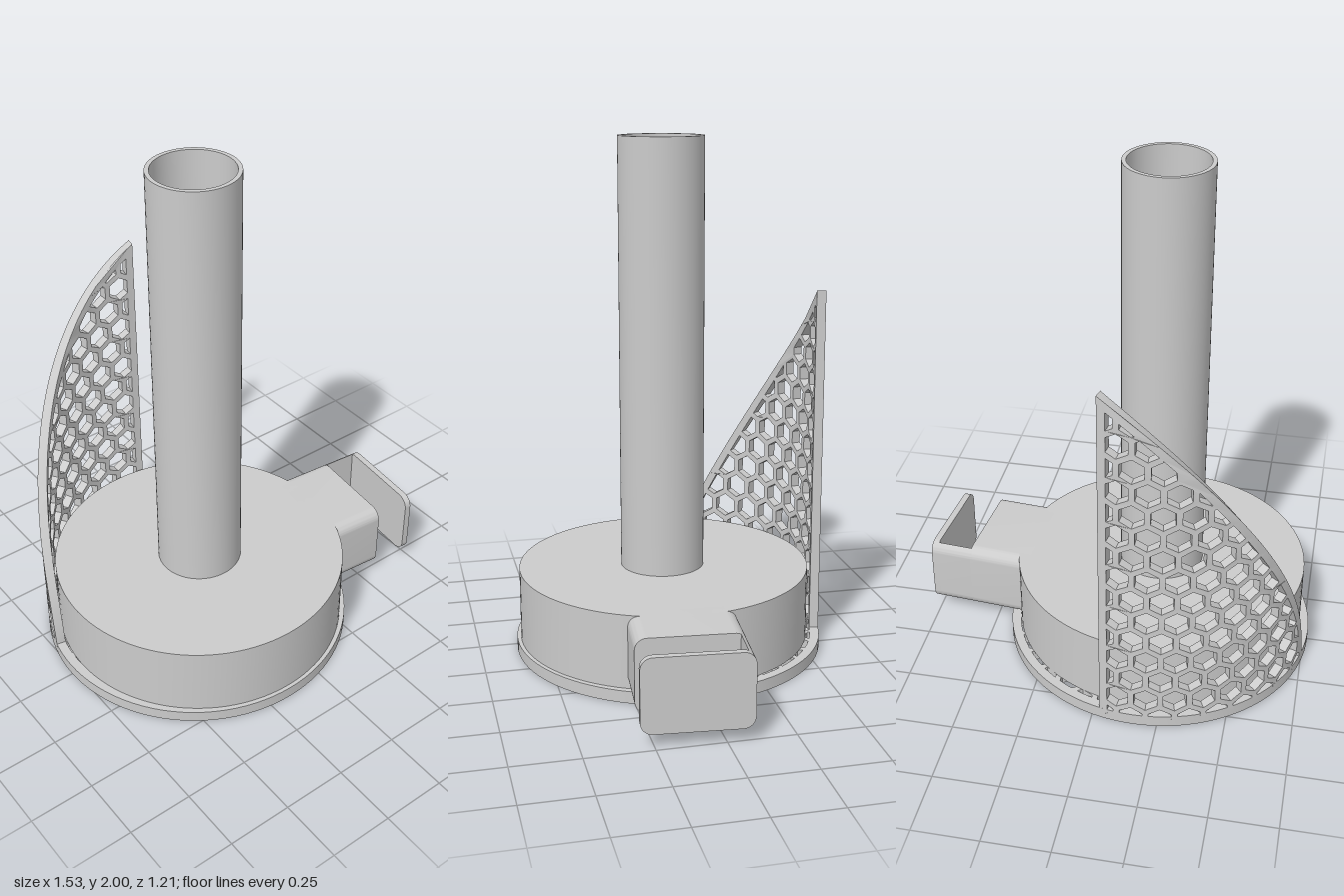
import * as THREE from 'three';
import { toCreasedNormals } from 'three/addons/utils/BufferGeometryUtils.js';

const V = (x, y) => new THREE.Vector2(x, y);
const CX = -0.162, R = 0.605, WALL = 0.036, BASE_H = 0.046;
const PITCH = 0.107, HEX = 0.049; // hole spacing and corner radius
const material = new THREE.MeshStandardMaterial({ color: 0xcccccc });

function add(parent, name, geometry, crease = 0.5) {
  const mesh = new THREE.Mesh(toCreasedNormals(geometry, crease), material);
  mesh.name = name;
  parent.add(mesh);
  return mesh;
}

// Trim a convex polygon by the line a-b moved inwards by the frame width
function trim(poly, a, b, inset) {
  const d = b.clone().sub(a).normalize();
  const dist = p => d.x * (p.y - a.y) - d.y * (p.x - a.x) - inset;
  const out = [];
  poly.forEach((p, i) => {
    const q = poly[(i + 1) % poly.length], dp = dist(p), dq = dist(q);
    if (dp >= 0) out.push(p);
    if (dp * dq < 0) out.push(p.clone().lerp(q, dp / (dp - dq)));
  });
  return out;
}

// Honeycomb panel: convex anticlockwise outline, solid frame, hexagonal holes
function honeycomb(outline, inset, origin, depth) {
  const shape = new THREE.Shape(outline);
  for (let row = -16; row <= 16; row++) {
    for (let col = -13; col <= 13; col++) {
      const cx = origin.x + (col + (row & 1) / 2) * PITCH;
      const cy = origin.y + row * PITCH * Math.sqrt(3) / 2;
      let hex = [];
      for (let k = 0; k < 6; k++) {
        const t = (k + 0.5) * Math.PI / 3;
        hex.push(V(cx + HEX * Math.cos(t), cy + HEX * Math.sin(t)));
      }
      outline.forEach((a, i) => {
        if (hex.length) hex = trim(hex, a, outline[(i + 1) % outline.length], inset);
      });
      if (hex.length > 2 && THREE.ShapeUtils.area(hex) > 0.0004) {
        shape.holes.push(new THREE.Path(hex.reverse()));
      }
    }
  }
  return new THREE.ExtrudeGeometry(shape, { depth, bevelEnabled: false });
}

// Perforated base plate with a solid hub
function buildBase(root) {
  const circle = [];
  for (let i = 0; i < 96; i++) {
    const t = i / 96 * Math.PI * 2;
    circle.push(V(R * Math.cos(t), R * Math.sin(t)));
  }
  const plate = honeycomb(circle, WALL, V(0, 0), BASE_H).rotateX(-Math.PI / 2);
  add(root, 'basePlate', plate).position.x = CX;
  const hub = new THREE.CylinderGeometry(0.17, 0.17, BASE_H, 48);
  add(root, 'baseHub', hub).position.set(CX, BASE_H / 2, 0);
}

// Curved guard: a flat panel bent around the base, its top edge sweeping up
function buildGuard(root) {
  const a0 = -1.351, a1 = 0.22, rMid = R - WALL / 2, n = 48;
  const topY = a => {
    const u = Math.max(0, CX + R * Math.sin(a) + 0.75);
    return 0.05 + Math.sqrt(u * (3.45 - 1.18 * u));
  };
  const outline = [];
  const angle = i => a0 + (a1 - a0) * i / n;
  for (let i = 0; i <= n; i++) outline.push(V(angle(i) * rMid, 0));
  for (let i = n; i >= 0; i--) outline.push(V(angle(i) * rMid, topY(angle(i))));
  const panel = honeycomb(outline, 0.03, V(-0.204, 0.032 + PITCH * Math.sqrt(3) * 2), WALL);
  const p = panel.attributes.position;
  for (let i = 0; i < p.count; i++) {
    const a = p.getX(i) / rMid, r = R - p.getZ(i);
    p.setXYZ(i, r * Math.sin(a), p.getY(i), -r * Math.cos(a));
  }
  add(root, 'curvedGuard', panel).position.x = CX;
}

// Rounded profile seen along the outlet, trimmed to px >= from
function outletProfile(from) {
  const w = 0.2, y0 = 0.05, y1 = 0.33, r = 0.045;
  const s = new THREE.Shape();
  const full = from <= -w;
  const cut = full ? 0 : Math.acos((from - w + r) / r);
  const end = full ? Math.PI / 2 : cut;
  s.absarc(w - r, y0 + r, r, -end, 0, false);
  s.absarc(w - r, y1 - r, r, 0, end, false);
  if (full) {
    s.absarc(-w + r, y1 - r, r, Math.PI / 2, Math.PI, false);
    s.absarc(-w + r, y0 + r, r, Math.PI, Math.PI * 1.5, false);
  }
  s.closePath();
  return s;
}

// Side outlet with an L-shaped bracket standing off its end
function buildOutlet(root) {
  const outlet = new THREE.Group();
  outlet.name = 'sideOutlet';
  outlet.position.set(-0.16, 0, 0.02);
  outlet.rotation.y = -0.09;
  root.add(outlet);
  const piece = (name, from, x0, x1) => add(outlet, name,
    new THREE.ExtrudeGeometry(outletProfile(from), { depth: x1 - x0, bevelEnabled: false, curveSegments: 8 })
      .rotateY(Math.PI / 2).translate(x0, 0, 0));
  piece('outletBox', -0.2, 0.5, 0.747);
  piece('bracketArm', 0.175, 0.74, 0.9);
  piece('bracketPlate', -0.2, 0.886, 0.912);
}

export function createModel() {
  const root = new THREE.Group();
  root.name = 'honeycombStand';
  buildBase(root);
  buildGuard(root);
  buildOutlet(root);

  // Drum, set slightly forward on the base
  const h = 0.33 - BASE_H;
  add(root, 'drum', new THREE.CylinderGeometry(0.57, 0.57, h, 96))
    .position.set(-0.16, BASE_H + h / 2, 0.02);

  // Open upright tube
  const tube = [V(0.163, 0.32), V(0.163, 2), V(0.147, 2), V(0.147, 0.32)];
  add(root, 'uprightTube', new THREE.LatheGeometry(tube, 64)).position.set(-0.161, 0, 0.024);
  return root;
}
